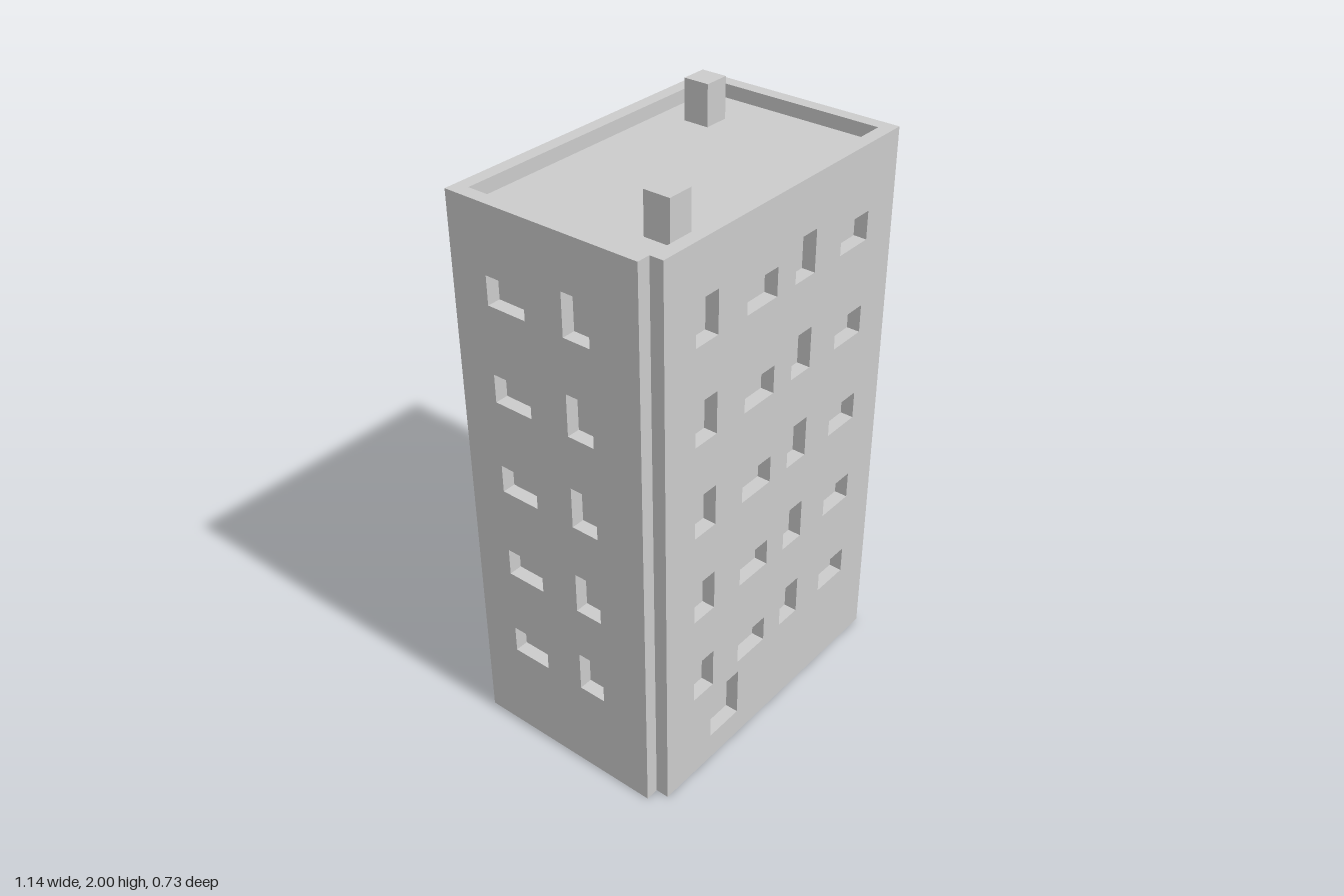
import * as THREE from 'three';

const material = new THREE.MeshStandardMaterial({ color: 0xcccccc, flatShading: true });

const X = 0.568, Z = 0.363;          // half width and half depth
const T = 0.045;                     // wall thickness
const TOP = 1.91, ROOF = TOP - T;    // parapet top and roof floor
const FLOORS = 5, FIRST_SILL = 0.32, STOREY = 0.319;
const TALL = { w: 0.096, h: 0.14 }, WIDE = { w: 0.14, h: 0.094 };

function box(name, x0, x1, y0, y1, z0, z1) {
  const mesh = new THREE.Mesh(new THREE.BoxGeometry(x1 - x0, y1 - y0, z1 - z0), material);
  mesh.position.set((x0 + x1) / 2, (y0 + y1) / 2, (z0 + z1) / 2);
  mesh.name = name;
  return mesh;
}

function rectangle(Type, x, y, w, h) {
  const r = new Type();
  r.moveTo(x, y);
  r.lineTo(x + w, y);
  r.lineTo(x + w, y + h);
  r.lineTo(x, y + h);
  r.closePath();
  return r;
}

// Wall slab with one window of each column on every floor
function facade(name, u0, u1, columns, openings = []) {
  const shape = rectangle(THREE.Shape, u0, 0, u1 - u0, TOP);
  for (let floor = 0; floor < FLOORS; floor++) {
    for (const [u, size] of columns) {
      shape.holes.push(rectangle(THREE.Path, u, FIRST_SILL + floor * STOREY, size.w, size.h));
    }
  }
  for (const o of openings) shape.holes.push(rectangle(THREE.Path, ...o));
  const geometry = new THREE.ExtrudeGeometry(shape, { depth: T, bevelEnabled: false });
  const mesh = new THREE.Mesh(geometry, material);
  mesh.name = name;
  return mesh;
}

export function createModel() {
  const building = new THREE.Group();
  building.name = 'apartmentBuilding';

  // Solid core closes the window recesses and carries the roof
  building.add(box('core', -X + T, X, 0, ROOF, -Z, Z - T));

  // Front wall with windows and door
  const front = facade('frontWall', -X + T, X,
    [[-0.391, TALL], [-0.166, WIDE], [0.062, TALL], [0.289, WIDE]],
    [[-0.303, 0.097, 0.142, 0.178]]);
  front.position.z = Z - T;
  building.add(front);

  // Windowed side wall, stopping short of the front to leave the corner notch
  const side = facade('rightWall', -Z, Z - T, [[-0.23, WIDE], [0.05, TALL]]);
  side.rotation.y = -Math.PI / 2;
  side.position.x = -X + T;
  building.add(side);

  // Rest of the parapet
  building.add(
    box('backParapet', -X + T, X, ROOF, TOP, -Z, -Z + T),
    box('leftParapet', X - T, X, ROOF, TOP, -Z + T, Z - T),
    box('cornerParapet', -X + T, -X + 2 * T, ROOF, TOP, Z - 2 * T, Z - T),
  );

  // Chimneys
  for (const [x, z] of [[-0.341, 0.227], [0.339, -0.183]]) {
    building.add(box('chimney', x - 0.044, x + 0.044, ROOF, 2, z - 0.044, z + 0.044));
  }
  return building;
}
